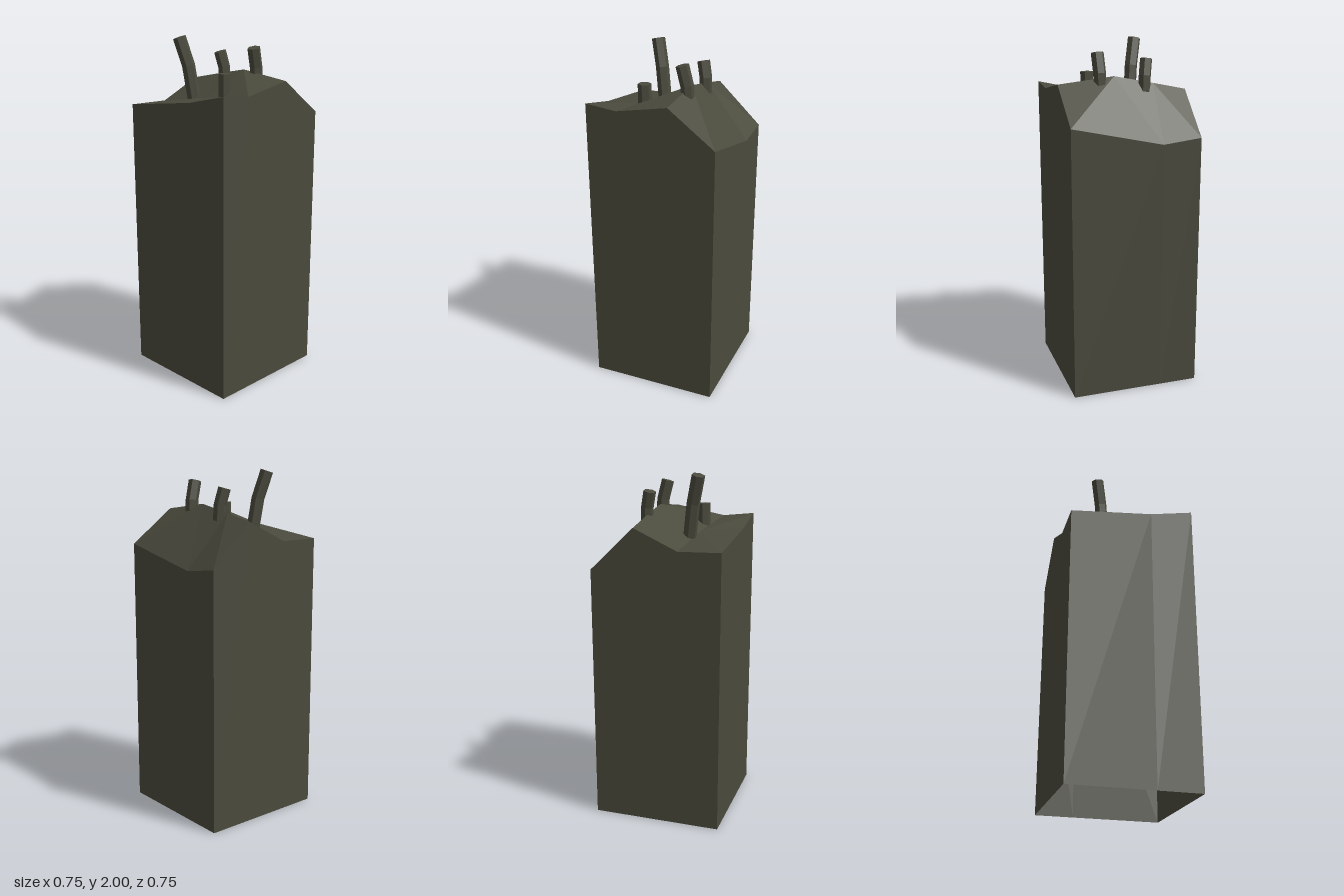
import * as THREE from 'three';

const stone = new THREE.MeshStandardMaterial({ color: 0x4a4a3d, side: THREE.DoubleSide, flatShading: true });
stone.name = 'dark olive stone';

const W = 0.373;

// Flat-shaded mesh from a list of triangles of [x, y, z] corners
function triangleMesh(name, triangles) {
  const geo = new THREE.BufferGeometry();
  geo.setAttribute('position', new THREE.Float32BufferAttribute(triangles.flat(2), 3));
  geo.computeVertexNormals();
  const mesh = new THREE.Mesh(geo, stone);
  mesh.name = name;
  return mesh;
}

// Six-sided spike bent through three points: base, middle, tip
function spike(name, r, ...pts) {
  const p = pts.map((a) => new THREE.Vector3(...a));
  const up = new THREE.Vector3(0, 1, 0);
  const dirs = [p[1].clone().sub(p[0]), p[2].clone().sub(p[0]), p[2].clone().sub(p[1])];
  const turns = dirs.map((d) => new THREE.Quaternion().setFromUnitVectors(up, d.normalize()));
  const geo = new THREE.CylinderGeometry(r, r, 2, 6, 2).toNonIndexed();
  const pos = geo.attributes.position;
  const v = new THREE.Vector3();
  for (let i = 0; i < pos.count; i++) {
    v.fromBufferAttribute(pos, i);
    const ring = Math.round(v.y) + 1;
    v.setY(0).applyQuaternion(turns[ring]).add(p[ring]);
    pos.setXYZ(i, v.x, v.y, v.z);
  }
  geo.computeVertexNormals();
  const mesh = new THREE.Mesh(geo, stone);
  mesh.name = name;
  return mesh;
}

export function createModel() {
  const model = new THREE.Group();
  model.name = 'rockPillar';

  // Rim, walked front, +x side, back, -x side
  const F0 = [-W, 1.73, W], F1 = [-0.19, 1.71, W], F2 = [0.106, 1.765, W], F3 = [W, 1.565, W];
  const R1 = [W, 1.45, -0.15], R2 = [W, 1.475, -W];
  const B1 = [0.12, 1.715, -W], B2 = [-0.13, 1.6, -W], B3 = [-W, 1.605, -W];
  const L1 = [-W, 1.67, 0.115];
  const rim = [F0, F1, F2, F3, R1, R2, B1, B2, B3, L1];

  // Walls drop from the rim to the ground; the underside is open
  const walls = [];
  rim.forEach((a, i) => {
    const b = rim[(i + 1) % rim.length];
    const a0 = [a[0], 0, a[2]], b0 = [b[0], 0, b[2]];
    walls.push([a0, b0, b], [a0, b, a]);
  });
  model.add(triangleMesh('walls', walls));

  // Uneven summit with a ridge (peak, ridge) and a hollow
  const peak = [0.11, 1.8, 0.05], ridge = [0.116, 1.755, -0.18], hollow = [-0.15, 1.66, 0];
  model.add(triangleMesh('summit', [
    [F1, F2, peak], [F2, F3, peak], [F3, R1, peak], [R1, ridge, peak],
    [R1, R2, ridge], [R2, B1, ridge], [B1, B2, ridge], [B2, hollow, ridge],
    [hollow, peak, ridge], [B2, B3, hollow], [B3, L1, hollow], [L1, F0, hollow],
    [F0, F1, hollow], [F1, peak, hollow],
  ]));

  // Four leaning spikes
  model.add(
    spike('backRightSpike', 0.038, [-0.115, 1.58, -0.115], [-0.147, 1.83, -0.138], [-0.185, 1.985, -0.17]),
    spike('frontRightSpike', 0.038, [-0.13, 1.6, 0.14], [-0.13, 1.7, 0.14], [-0.13, 1.805, 0.14]),
    spike('frontLeftSpike', 0.037, [0.125, 1.68, 0.135], [0.12, 1.82, 0.137], [0.093, 1.93, 0.142]),
    spike('backLeftSpike', 0.036, [0.13, 1.66, -0.12], [0.125, 1.8, -0.126], [0.105, 1.89, -0.14]),
  );
  return model;
}
